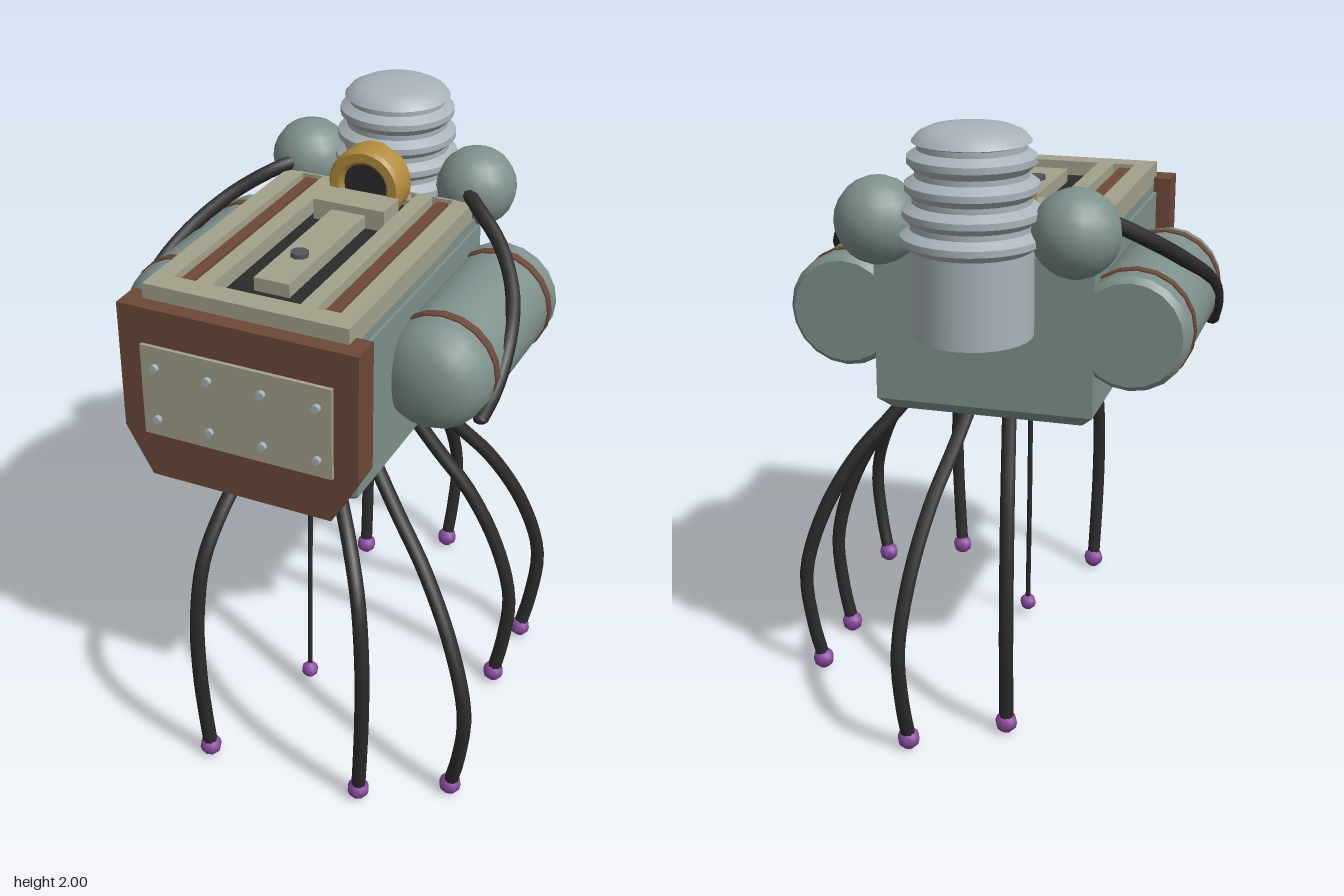
import * as THREE from 'three';
import { toCreasedNormals } from 'three/addons/utils/BufferGeometryUtils.js';

const CX = -0.06; // centre line of the body

export function createModel() {
  const model = new THREE.Group();
  const mat = (name, color, extra = {}) => {
    const m = new THREE.MeshStandardMaterial({ color, ...extra });
    m.name = name;
    return m;
  };
  const teal = mat('teal', 0x7d918d);
  const cream = mat('cream', 0xa3a18b);
  const brown = mat('brown', 0x6d4938);
  const dark = mat('dark rubber', 0x2b2b2b);
  const gold = mat('gold', 0xb08c3c);
  const silver = mat('silver', 0xa8b3b9, { side: THREE.DoubleSide });
  const purple = mat('purple', 0x8a4ba0);
  const grey = mat('grey', 0x55565b);

  const add = (name, geo, material, x = 0, y = 0, z = 0) => {
    const m = new THREE.Mesh(geo, material);
    m.name = name;
    m.position.set(x, y, z);
    model.add(m);
    return m;
  };
  // box given by its limits
  const box = (name, material, x0, x1, y0, y1, z0, z1) =>
    add(name, new THREE.BoxGeometry(x1 - x0, y1 - y0, z1 - z0), material,
      (x0 + x1) / 2, (y0 + y1) / 2, (z0 + z1) / 2);
  const lathe = (points, sides, crease = 0.6) =>
    toCreasedNormals(new THREE.LatheGeometry(points.map(p => new THREE.Vector2(...p)), sides), crease);
  const rect = (Type, x0, x1, z0, z1) => {
    const s = new Type();
    s.moveTo(x0, -z1); s.lineTo(x1, -z1); s.lineTo(x1, -z0); s.lineTo(x0, -z0);
    s.closePath();
    return s;
  };
  const tube = (points, r, sides) => new THREE.TubeGeometry(
    new THREE.CatmullRomCurve3(points.map(p => new THREE.Vector3(...p))), 24, r, sides);

  // body with chamfered underside and a thin lip on top
  box('body', teal, -0.41, 0.295, 1.08, 1.58, -0.42, 0.56);
  box('bodyLip', teal, -0.40, 0.285, 1.58, 1.615, -0.41, 0.56);
  const under = new THREE.BoxGeometry(0.705, 0.04, 0.98);
  const p = under.attributes.position;
  for (let i = 0; i < p.count; i++) {
    if (p.getY(i) < 0) {
      p.setX(i, p.getX(i) - Math.sign(p.getX(i)) * 0.04);
      p.setZ(i, p.getZ(i) - Math.sign(p.getZ(i)) * 0.04);
    }
  }
  under.computeVertexNormals();
  add('underside', under, teal, -0.0575, 1.06, 0.07);

  // top frame with three slots
  const frame = rect(THREE.Shape, -0.40, 0.285, -0.36, 0.6);
  frame.holes.push(
    rect(THREE.Path, -0.335, -0.26, -0.35, 0.52),
    rect(THREE.Path, -0.205, 0.09, -0.35, 0.52),
    rect(THREE.Path, 0.145, 0.22, -0.35, 0.52));
  const frameGeo = new THREE.ExtrudeGeometry(frame, { depth: 0.07, bevelEnabled: false });
  frameGeo.rotateX(-Math.PI / 2);
  add('topFrame', frameGeo, cream, 0, 1.61, 0);
  box('slotFloor', dark, -0.39, 0.275, 1.615, 1.63, -0.355, 0.55);
  for (const s of [-1, 1]) {
    const x = CX + s * 0.242;
    box('slotRail', brown, x - 0.02, x + 0.02, 1.625, 1.668, -0.35, 0.517);
  }
  box('centreBar', cream, -0.12, 0.0, 1.625, 1.675, -0.14, 0.415);
  add('knob', new THREE.CylinderGeometry(0.03, 0.03, 0.02, 8), grey, CX, 1.68, 0.225);
  box('ringBase', cream, -0.187, 0.067, 1.625, 1.70, -0.25, -0.13);

  // gold ring with dark opening
  const ring = lathe([[0.08, 0], [0.13, 0], [0.13, 0.085], [0.12, 0.1], [0.09, 0.1], [0.08, 0.09], [0.08, 0]], 24);
  ring.rotateX(Math.PI / 2);
  add('ring', ring, gold, CX, 1.715, -0.345);
  const core = new THREE.CylinderGeometry(0.081, 0.081, 0.07, 20);
  core.rotateX(Math.PI / 2);
  add('ringCore', core, dark, CX, 1.715, -0.305);

  // front plate, panel and rivets
  const plate = new THREE.Shape([[-0.37, 1.04], [0.25, 1.04], [0.34, 1.2], [0.34, 1.63], [-0.46, 1.63], [-0.46, 1.2]]
    .map(q => new THREE.Vector2(...q)));
  add('frontPlate', new THREE.ExtrudeGeometry(plate, { depth: 0.103, bevelEnabled: false }), brown, 0, 0, 0.552);
  box('frontPanel', cream, -0.38, 0.26, 1.2, 1.51, 0.65, 0.668);
  for (let i = 0; i < 4; i++) for (const y of [1.26, 1.44]) {
    const rivet = new THREE.CylinderGeometry(0.014, 0.014, 0.02, 8);
    rivet.rotateX(Math.PI / 2);
    add('rivet', rivet, silver, -0.33 + i * 0.181, y, 0.673);
  }

  // rear ribbed dome on an open canister
  const dome = [[0.185, 1.63]];
  [1.665, 1.742, 1.82, 1.9].forEach((y, i) => {
    const r = 0.217 - i * 0.008;
    dome.push([r, y - 0.012], [r, y + 0.008], [r - 0.03, y + 0.028], [r - 0.03, y + 0.045]);
  });
  dome.push([0.178, 1.95], [0.16, 1.972], [0.128, 1.988], [0.07, 1.997], [0, 2.0]);
  add('ribbedDome', lathe(dome, 28), silver, CX, 0, -0.523);
  add('canister', new THREE.CylinderGeometry(0.185, 0.185, 0.32, 28, 1, true), silver, CX, 1.52, -0.523);

  // side tanks, shoulder balls and arms
  const tank = lathe([[0, -0.42], [0.165, -0.42], [0.183, -0.40], [0.183, 0.2], [0.174, 0.25],
    [0.148, 0.293], [0.1, 0.32], [0, 0.332]], 20, 0.7);
  tank.rotateX(Math.PI / 2);
  for (const s of [-1, 1]) {
    const x = CX + s * 0.46;
    add('tank', tank, teal, x, 1.36, 0);
    for (const z of [-0.322, 0.162]) {
      const band = new THREE.CylinderGeometry(0.188, 0.188, 0.033, 20);
      band.rotateX(Math.PI / 2);
      add('tankBand', band, brown, x, 1.36, z);
    }
    add('shoulder', new THREE.SphereGeometry(0.136, 16, 12), teal, CX + s * 0.308, 1.685, -0.49);
    const arm = [[0.28, 1.71, -0.43], [0.36, 1.69, -0.34], [0.49, 1.61, -0.24],
      [0.59, 1.51, -0.1], [0.635, 1.41, 0.06], [0.635, 1.31, 0.16], [0.615, 1.24, 0.215]];
    add('arm', tube(arm.map(([a, y, z]) => [CX + s * a, y, z]), 0.025, 8), dark);
    const tip = add('armTip', new THREE.SphereGeometry(0.026, 8, 6), dark, CX + s * 0.615, 1.24, 0.215);
    tip.scale.y = 0.7;
  }

  // legs: hip x, z, foot x, z, and how early they bow outwards
  const legs = [
    [-0.12, 0.46, -0.17, 0.735, 1], [0.16, 0.44, 0.37, 0.71, 1],
    [0.24, 0.32, 0.635, 0.56, 0], [0.24, 0.01, 0.565, -0.03, 0],
    [0.23, -0.13, 0.565, -0.31, 0], [0.01, -0.31, 0.106, -0.72, 0],
    [-0.12, -0.33, -0.17, -0.54, 0]];
  const heights = [1.06, 1.02, 0.93, 0.8, 0.6, 0.38, 0.18, 0.04];
  const bows = [
    [0, 0.09, 0.3, 0.62, 0.94, 1.12, 1.08, 1],
    [0, 0.24, 0.62, 0.95, 1.11, 1.12, 1.06, 1]];
  const foot = new THREE.SphereGeometry(0.037, 8, 6);
  for (const [hx, hz, fx, fz, early] of legs) {
    const path = heights.map((y, i) => {
      const t = bows[early][i];
      return [hx + (fx - hx) * t, y, hz + (fz - hz) * t];
    });
    add('leg', tube(path, 0.024, 8), dark);
    add('foot', foot, purple, fx, 0.037, fz);
  }

  // thin feeler under the body
  add('feeler', tube([[CX, 1.06, 0.16], [-0.045, 0.55, 0.21], [-0.027, 0.06, 0.26]], 0.009, 6), dark);
  add('feelerTip', new THREE.SphereGeometry(0.03, 8, 6), purple, -0.027, 0.055, 0.262);

  return model;
}
